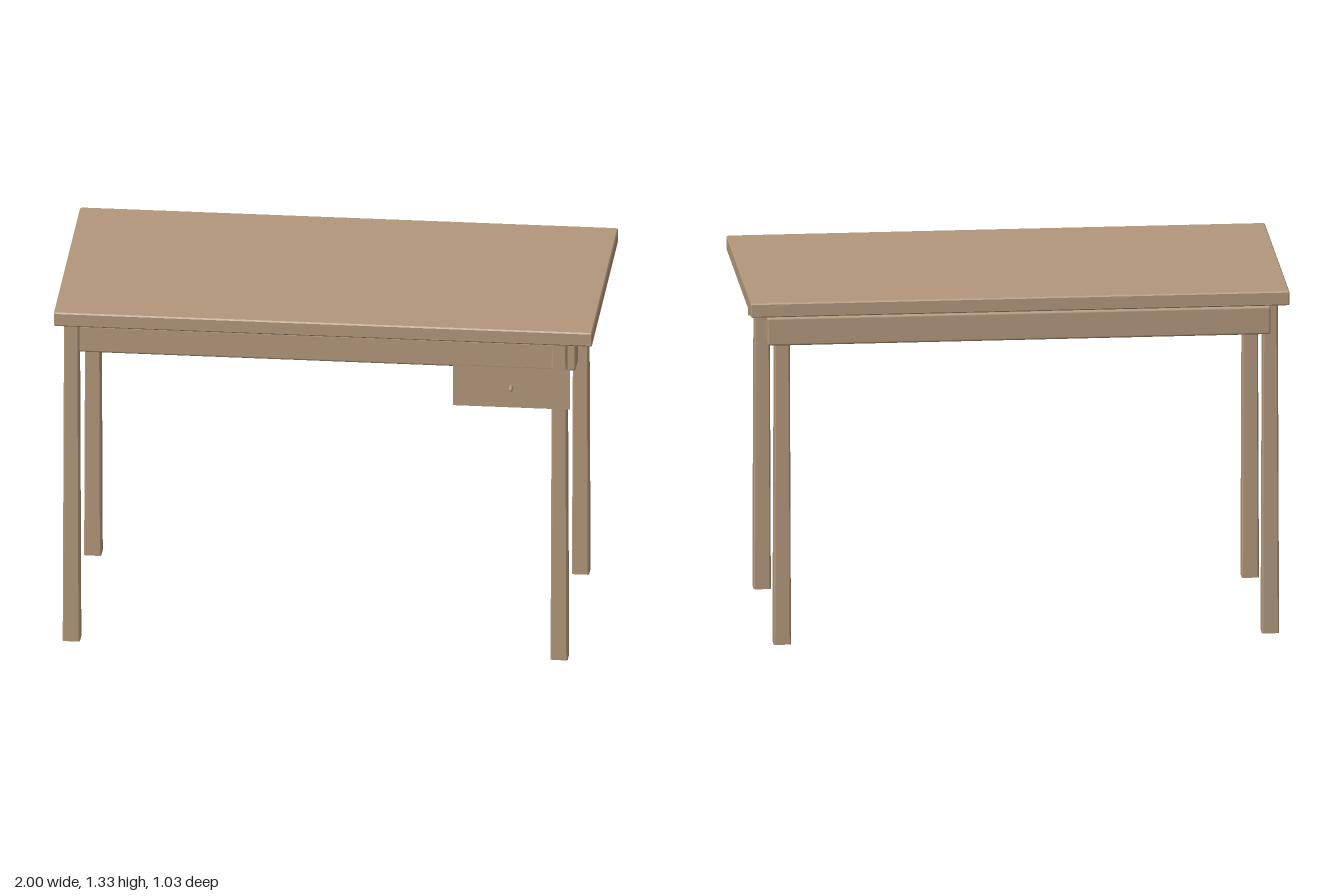
import * as THREE from 'three';
import { RoundedBoxGeometry } from 'three/addons/geometries/RoundedBoxGeometry.js';

const wood = new THREE.MeshStandardMaterial({ color: 0xb1967a });
const thinWood = new THREE.MeshStandardMaterial({ color: 0xb1967a, side: THREE.DoubleSide });

// Open-bottomed shell through chamfered rectangles, each ring [y, width, depth, chamfer], capped on top
function chamferedShell(rings) {
  const positions = [];
  const loops = rings.map(([y, w, d, c]) => {
    const a = w / 2, b = d / 2;
    return [
      [a, b - c], [a, c - b], [a - c, -b], [c - a, -b],
      [-a, c - b], [-a, b - c], [c - a, b], [a - c, b],
    ].map(([x, z]) => [x, y, z]);
  });
  for (let i = 0; i < loops.length - 1; i++) {
    for (let j = 0; j < 8; j++) {
      const k = (j + 1) % 8;
      const [p, q, r, s] = [loops[i][j], loops[i][k], loops[i + 1][k], loops[i + 1][j]];
      positions.push(...p, ...q, ...r, ...p, ...r, ...s);
    }
  }
  const cap = loops[loops.length - 1];
  for (let j = 1; j < 7; j++) positions.push(...cap[0], ...cap[j], ...cap[j + 1]);
  const geometry = new THREE.BufferGeometry();
  geometry.setAttribute('position', new THREE.Float32BufferAttribute(positions, 3));
  geometry.computeVertexNormals();
  return geometry;
}

export function createModel() {
  const group = new THREE.Group();
  const add = (name, geometry, material, x, y, z) => {
    const mesh = new THREE.Mesh(geometry, material);
    mesh.name = name;
    mesh.position.set(x, y, z);
    group.add(mesh);
    return mesh;
  };

  // Table top, hollow underneath with a shallow rim
  add('tableTop', chamferedShell([
    [1.275, 1.99, 0.992, 0.003],
    [1.279, 1.996, 0.998, 0.004],
    [1.324, 1.996, 0.998, 0.004],
    [1.329, 1.988, 0.99, 0.004],
  ]), thinWood, -0.002, 0, -0.013);

  // Slightly tapered hollow legs
  const legGeometry = chamferedShell([
    [0, 0.064, 0.064, 0.005],
    [1.277, 0.055, 0.055, 0.005],
  ]);
  for (const [side, x] of [['Right', -0.938], ['Left', 0.871]]) {
    add('front' + side + 'Leg', legGeometry, thinWood, x, 0, 0.424);
    add('back' + side + 'Leg', legGeometry, thinWood, x, 0, -0.385);
  }

  // Long rails under the top
  const railGeometry = new RoundedBoxGeometry(1.866, 0.108, 0.089, 2, 0.009);
  add('frontRail', railGeometry, wood, -0.003, 1.202, 0.38);
  add('backRail', railGeometry, wood, -0.003, 1.202, -0.402);

  // Thin drawer front
  add('drawerFront', new THREE.PlaneGeometry(0.434, 0.161), thinWood, 0.698, 1.101, 0.487);

  // Small rounded knob passing through the drawer front
  const profile = [[0, -0.022], [0.005, -0.022], [0.008, -0.018], [0.008, 0.018], [0.005, 0.022], [0, 0.022]];
  const knobGeometry = new THREE.LatheGeometry(profile.map(([r, y]) => new THREE.Vector2(r, y)), 12);
  add('drawerKnob', knobGeometry, wood, 0.697, 1.101, 0.492).rotation.x = Math.PI / 2;

  return group;
}
